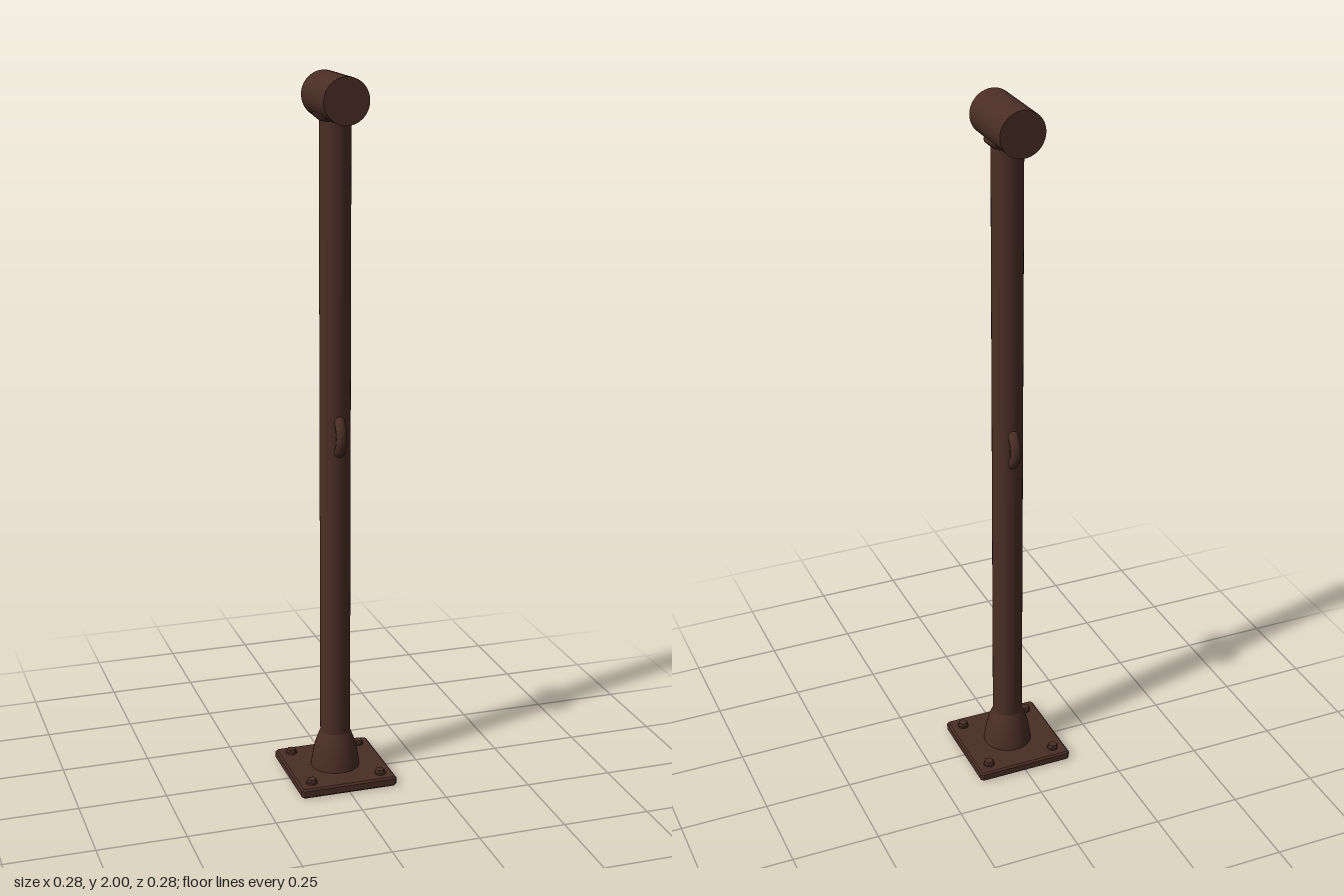
import * as THREE from 'three';

export function createModel() {
  const model = new THREE.Group();
  const brown = new THREE.MeshStandardMaterial({ color: 0x4a2e25 });
  brown.name = 'dark brown metal';

  const add = (name, geometry, x = 0, y = 0, z = 0) => {
    const mesh = new THREE.Mesh(geometry, brown);
    mesh.name = name;
    mesh.position.set(x, y, z);
    model.add(mesh);
    return mesh;
  };
  const lathe = (points, sides) =>
    new THREE.LatheGeometry(points.map(([r, y]) => new THREE.Vector2(r, y)), sides);

  // Square base plate with clipped corners and a small bevel
  const h = 0.136, c = 0.004;
  const outline = new THREE.Shape([
    [-h + c, -h], [h - c, -h], [h, -h + c], [h, h - c],
    [h - c, h], [-h + c, h], [-h, h - c], [-h, -h + c],
  ].map(([x, y]) => new THREE.Vector2(x, y)));
  const plate = new THREE.ExtrudeGeometry(outline, {
    depth: 0.018, bevelEnabled: true, bevelThickness: 0.005, bevelSize: 0.005, bevelSegments: 1,
  });
  plate.rotateX(-Math.PI / 2);
  add('basePlate', plate, 0, 0.005, 0);

  // Hex bolts on washers
  for (const x of [-0.102, 0.102]) {
    for (const z of [-0.102, 0.102]) {
      add('washer', new THREE.CylinderGeometry(0.016, 0.016, 0.004, 20), x, 0.03, z);
      const head = new THREE.CylinderGeometry(0.013, 0.016, 0.012, 6).toNonIndexed();
      head.rotateY(Math.PI / 6);
      head.computeVertexNormals();
      add('boltHead', head, x, 0.035, z);
    }
  }

  // Flared foot and post
  add('flaredFoot', lathe([
    [0.07, 0.026], [0.068, 0.045], [0.063, 0.075], [0.055, 0.105], [0.047, 0.125], [0.043, 0.135],
  ], 32));
  add('post', new THREE.CylinderGeometry(0.043, 0.043, 1.88, 32), 0, 0.968, 0);

  // Ring passing through the post
  const ring = add('tieRing', new THREE.TorusGeometry(0.058, 0.015, 12, 32), 0, 1.022, 0);
  ring.rotation.y = Math.PI / 2;

  // Saddle collar and horizontal head
  add('saddleCollar', lathe([
    [0.042, 1.878], [0.05, 1.884], [0.06, 1.893], [0.06, 1.898], [0.0, 1.898],
  ], 32));
  const head = new THREE.CylinderGeometry(0.063, 0.063, 0.2, 40);
  head.rotateX(Math.PI / 2);
  add('crossHead', head, 0, 1.937, 0);

  return model;
}
